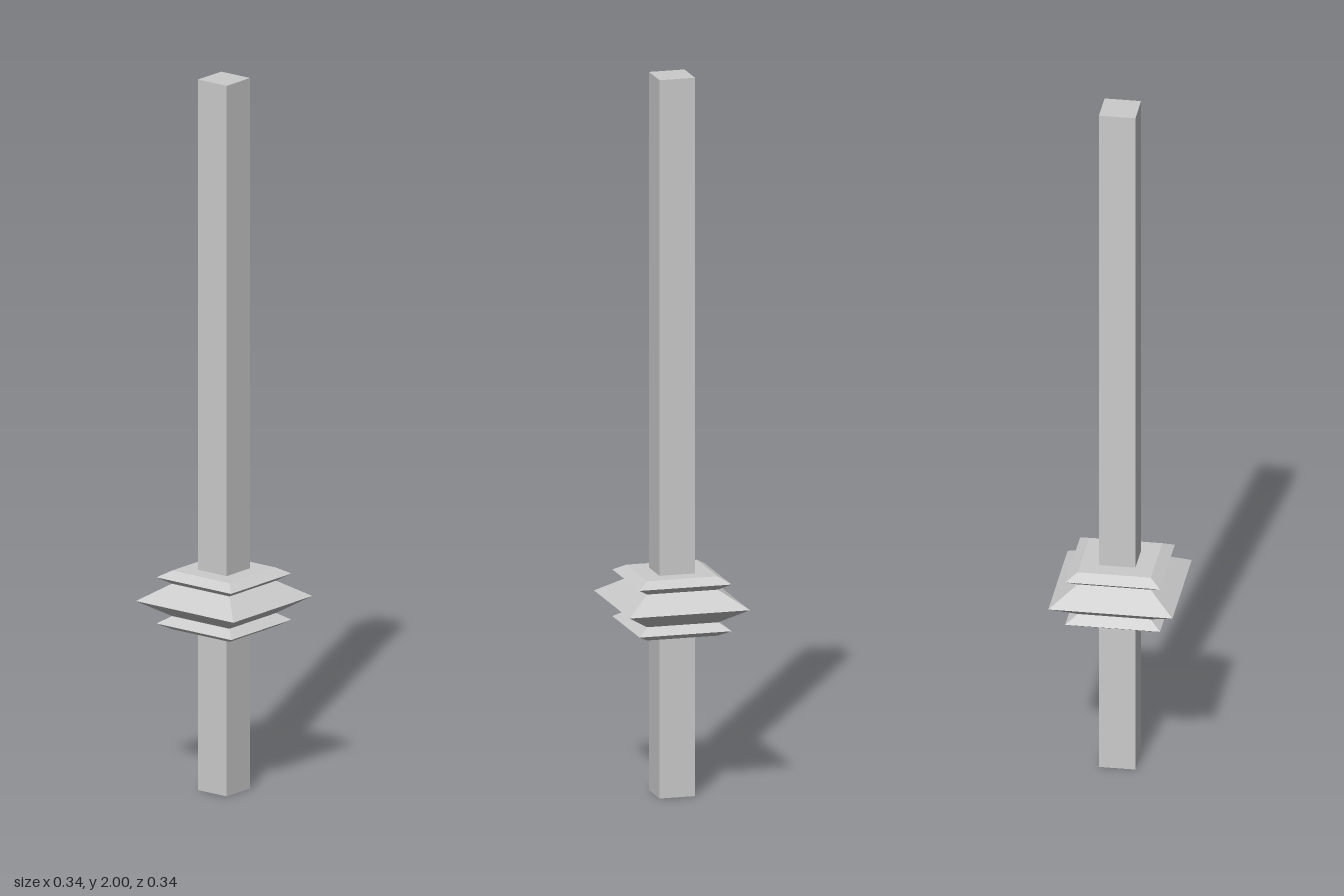
import * as THREE from 'three';

export function createModel() {
  const model = new THREE.Group();
  const material = new THREE.MeshStandardMaterial({ color: 0xcccccc, flatShading: true });

  // Long square shaft
  const shaft = new THREE.Mesh(new THREE.BoxGeometry(0.1, 2, 0.1), material);
  shaft.name = 'shaft';
  shaft.position.y = 1;
  model.add(shaft);

  // Square collar with three sharp ridges: [half width, height], bottom to top
  const profile = [
    [0, 0.455], [0.1, 0.455], [0.13, 0.472], [0.1, 0.492], [0.17, 0.537],
    [0.1, 0.583], [0.13, 0.602], [0.1, 0.62], [0, 0.62],
  ].map(([halfWidth, y]) => new THREE.Vector2(halfWidth * Math.SQRT2, y));
  const collar = new THREE.Mesh(new THREE.LatheGeometry(profile, 4, Math.PI / 4), material);
  collar.name = 'ridgedCollar';
  model.add(collar);

  return model;
}
